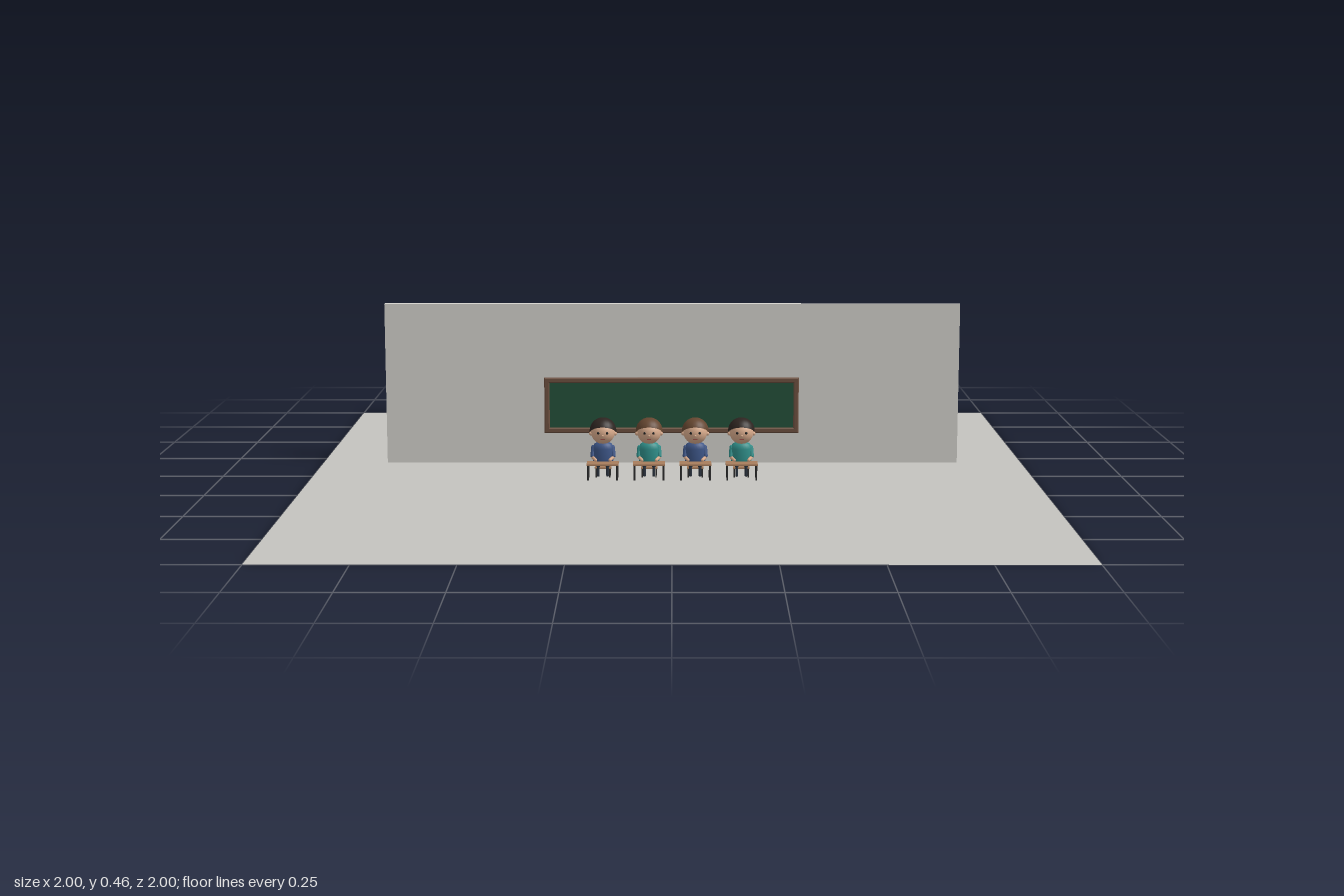
import * as THREE from 'three';

const mat = (color, side = THREE.FrontSide) => new THREE.MeshStandardMaterial({ color, side });
const wood = mat(0xa87d5c), frameWood = mat(0x6e5140), metal = mat(0x2b2b2b);
const skin = mat(0xd9ab8c), dark = mat(0x1a1a1a), trousers = mat(0x2c3440), mouthMat = mat(0x9c4f48);

function add(parent, name, geometry, material, x = 0, y = 0, z = 0) {
  const mesh = new THREE.Mesh(geometry, material);
  mesh.name = name;
  mesh.position.set(x, y, z);
  parent.add(mesh);
  return mesh;
}

// Straight rod between two points
function rod(parent, name, a, b, r, material) {
  const from = new THREE.Vector3(...a), to = new THREE.Vector3(...b);
  const dir = to.clone().sub(from);
  const mesh = add(parent, name, new THREE.CapsuleGeometry(r, dir.length(), 4, 10), material);
  mesh.position.copy(from).add(to).multiplyScalar(0.5);
  mesh.quaternion.setFromUnitVectors(new THREE.Vector3(0, 1, 0), dir.normalize());
  return mesh;
}

// Chalkboard with a bevelled frame
function makeBoard() {
  const board = new THREE.Group();
  board.name = 'chalkboard';
  const w = 0.36, h = 0.077, t = 0.009;
  const outline = (Type, x, y) => new Type([[-x, -y], [x, -y], [x, y], [-x, y]].map(p => new THREE.Vector2(...p)));
  const shape = outline(THREE.Shape, w, h);
  shape.holes.push(outline(THREE.Path, w - t, h - t));
  const frame = new THREE.ExtrudeGeometry(shape, {
    depth: 0.008, bevelEnabled: true, bevelThickness: 0.003, bevelSize: 0.003, bevelSegments: 1,
  });
  add(board, 'boardFrame', frame, frameWood);
  add(board, 'boardSurface', new THREE.BoxGeometry(2 * w - t, 2 * h - t, 0.006), mat(0x24503a), 0, 0, 0.004);
  return board;
}

// Small desk: top and four legs
function makeDesk() {
  const desk = new THREE.Group();
  desk.name = 'desk';
  add(desk, 'deskTop', new THREE.BoxGeometry(0.088, 0.005, 0.05), wood, 0, 0.0435, 0.035);
  for (const x of [-0.04, 0.04]) {
    for (const z of [0.015, 0.056]) {
      add(desk, 'deskLeg', new THREE.CylinderGeometry(0.0025, 0.0025, 0.041, 8), metal, x, 0.0205, z);
    }
  }
  return desk;
}

// Seated pupil with rounded torso, large head and cap of hair
function makeStudent(shirtColor, hairColor) {
  const student = new THREE.Group();
  student.name = 'student';
  const shirt = mat(shirtColor), hair = mat(hairColor, THREE.DoubleSide);

  const profile = [[0, 0.04], [0.027, 0.04], [0.029, 0.05], [0.029, 0.08], [0.025, 0.092], [0.012, 0.1], [0, 0.1]];
  const torso = add(student, 'torso', new THREE.LatheGeometry(profile.map(p => new THREE.Vector2(...p)), 24), shirt);
  torso.scale.z = 0.72;

  add(student, 'head', new THREE.SphereGeometry(0.033, 28, 20), skin, 0, 0.126, 0.003);
  // Hair shell opens toward the face
  const cap = add(student, 'hair', new THREE.SphereGeometry(0.037, 28, 18, 0, Math.PI * 2, 0, Math.PI * 0.56),
    hair, 0, 0.129, -0.002);
  cap.rotation.x = -0.6;

  add(student, 'nose', new THREE.SphereGeometry(0.003, 10, 8), skin, 0, 0.121, 0.036);
  add(student, 'mouth', new THREE.BoxGeometry(0.012, 0.002, 0.002), mouthMat, 0, 0.111, 0.0322);
  for (const s of [-1, 1]) {
    add(student, 'eye', new THREE.SphereGeometry(0.0038, 12, 8), dark, s * 0.012, 0.128, 0.0325);
    add(student, 'ear', new THREE.SphereGeometry(0.006, 12, 8), skin, s * 0.033, 0.122, 0.003);
    // Arm bent forward onto the desk
    rod(student, 'sleeve', [s * 0.027, 0.083, 0], [s * 0.029, 0.06, 0.008], 0.006, shirt);
    rod(student, 'forearm', [s * 0.029, 0.057, 0.008], [s * 0.02, 0.051, 0.024], 0.0045, skin);
    rod(student, 'thigh', [s * 0.013, 0.034, 0], [s * 0.013, 0.034, 0.018], 0.006, trousers);
    rod(student, 'shin', [s * 0.013, 0.03, 0.02], [s * 0.013, 0.007, 0.02], 0.004, trousers);
  }

  // Stool
  add(student, 'stoolSeat', new THREE.BoxGeometry(0.046, 0.004, 0.034), wood, 0, 0.027, 0);
  for (const x of [-0.019, 0.019]) {
    for (const z of [-0.013, 0.013]) {
      add(student, 'stoolLeg', new THREE.CylinderGeometry(0.002, 0.002, 0.025, 8), metal, x, 0.0125, z);
    }
  }
  return student;
}

export function createModel() {
  const model = new THREE.Group();
  model.name = 'classroom';

  // Floor and rear wall
  const floor = add(model, 'floor', new THREE.PlaneGeometry(2, 2), mat(0xc4c3be, THREE.DoubleSide));
  floor.rotation.x = -Math.PI / 2;
  add(model, 'wall', new THREE.BoxGeometry(1.634, 0.459, 0.015), mat(0xd4d2cd), 0, 0.2295, -0.2);

  const board = makeBoard();
  board.position.set(-0.002, 0.168, -0.193);
  model.add(board);

  // Row of four pupils at desks
  const shirts = [0x3d5688, 0x2f8f8a, 0x3d5688, 0x2f8f8a];
  const hairs = [0x2d2420, 0x654630, 0x654630, 0x2d2420];
  shirts.forEach((shirt, i) => {
    const place = new THREE.Group();
    place.name = 'place';
    place.add(makeDesk(), makeStudent(shirt, hairs[i]));
    place.position.x = -0.192 + i * 0.128;
    model.add(place);
  });
  return model;
}
